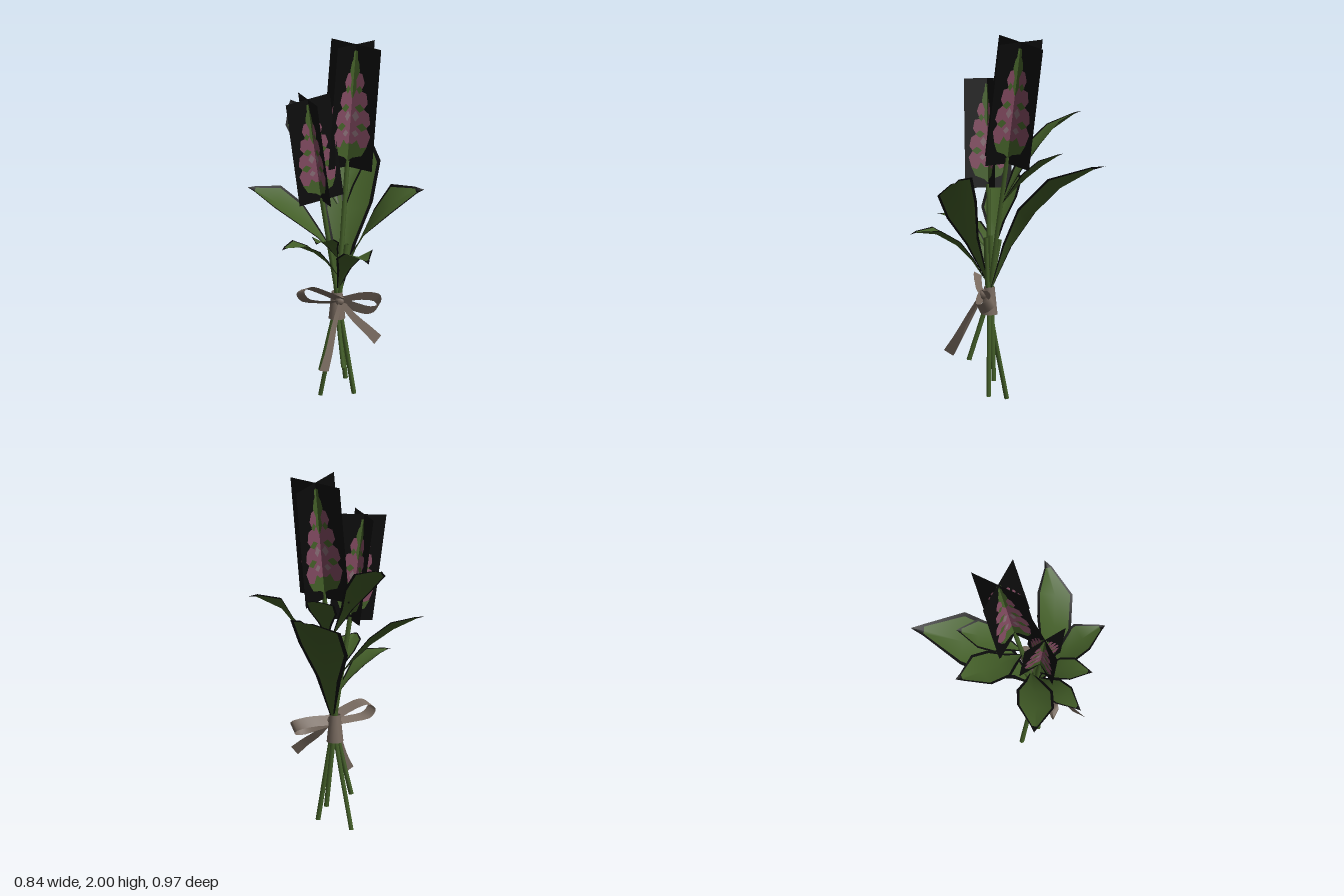
import * as THREE from 'three';

const V = (x, y, z) => new THREE.Vector3(x, y, z);
const paint = (name, color, side = THREE.DoubleSide) => {
  const m = new THREE.MeshStandardMaterial({ color, side });
  m.name = name;
  return m;
};

export function createModel() {
  const model = new THREE.Group();
  model.name = 'bouquet';
  const green = paint('leafGreen', 0x435e28);
  const black = paint('edgeBlack', 0x0b0b0b);
  const pink = paint('petalPink', 0x80495f);
  const pale = paint('palePetal', 0x846a72);
  const cloth = paint('ribbonTaupe', 0x786a5f);

  const add = (name, geo, mat, parent = model) => {
    const mesh = new THREE.Mesh(geo, mat);
    mesh.name = name;
    parent.add(mesh);
    return mesh;
  };

  // Grid of points (rows of equal length) turned into a surface;
  // pick(row, column) chooses the material slot of each cell.
  function sheet(rows, pick = () => 0) {
    const n = rows[0].length, cells = [[], []];
    for (let i = 0; i < rows.length - 1; i++) {
      for (let j = 0; j < n - 1; j++) {
        const a = i * n + j, b = a + n;
        cells[pick(i, j)].push(a, a + 1, b, a + 1, b + 1, b);
      }
    }
    const geo = new THREE.BufferGeometry().setFromPoints(rows.flat());
    geo.setIndex([...cells[0], ...cells[1]]);
    geo.addGroup(0, cells[0].length, 0);
    geo.addGroup(cells[0].length, cells[1].length, 1);
    geo.computeVertexNormals();
    return geo;
  }

  // Stems: gentle curves meeting at the knot
  const knot = V(-0.03, 0.55, 0.045);
  const stems = [
    [V(-0.07, 0.005, -0.07), V(-0.025, 0.55, 0.05), V(0.01, 0.9, 0.08)],
    [V(0.055, 0.04, 0.08), V(-0.02, 0.55, 0.05), V(-0.11, 1.17, 0.02)],
    [V(0.025, 0.12, 0.04), V(-0.02, 0.55, 0.035), V(-0.05, 0.9, 0.03)],
    [V(-0.11, 0.18, 0.01), V(-0.035, 0.55, 0.04), V(0.07, 1.34, -0.02)],
    [V(-0.05, 0.23, 0.155), V(-0.035, 0.55, 0.055), V(-0.02, 0.88, -0.01)],
  ];
  stems.forEach((pts, i) => {
    const curve = new THREE.CatmullRomCurve3(pts);
    add('stem' + (i + 1), new THREE.TubeGeometry(curve, 8, 0.013, 6), green);
    const cap = add('stemEnd' + (i + 1), new THREE.CircleGeometry(0.013, 6), green);
    cap.position.copy(pts[0]);
    cap.rotation.x = Math.PI / 2;
  });

  // Leaves: arched, channelled blades with a dark rim
  function leaf(name, base, bend, tip, width, roll) {
    const curve = new THREE.QuadraticBezierCurve3(base, bend, tip);
    // station along the blade, width share, where the rim begins
    const stations = [[0, 0.08, 0.4], [0.2, 0.5, 0.68], [0.4, 0.98, 0.84], [0.66, 1, 0.86],
      [0.92, 0.23, 0.6], [1, 0.001, 0.6]];
    const rows = stations.map(([t, w, rim]) => [-1, -rim, 0, rim, 1].map((u) => {
      const d = curve.getTangent(t).setY(0).normalize();
      const p = curve.getPoint(t).addScaledVector(V(-d.z, roll, d.x), u * w * width / 2);
      p.y += (Math.abs(u) - 0.5) * w * width * 0.18;
      return p;
    }));
    add(name, sheet(rows, (i, j) => (i === 4 || j === 0 || j === 3 ? 1 : 0)), [green, black]);
  }
  leaf('upperBackLeaf', V(0.01, 1.1, -0.02), V(-0.085, 1.5, -0.25), V(-0.03, 1.555, -0.485), 0.19, 0.18);
  leaf('largeBackLeaf', V(-0.01, 0.62, 0.04), V(0.12, 1.23, -0.11), V(0.42, 1.315, -0.455), 0.28, 0.2);
  leaf('upperSideLeaf', V(0.04, 1.08, 0), V(0.145, 1.32, -0.14), V(0.25, 1.37, -0.275), 0.16, 0.1);
  leaf('rightBackLeaf', V(-0.03, 0.83, 0.02), V(-0.23, 1.15, -0.08), V(-0.42, 1.195, -0.245), 0.2, 0.3);
  leaf('rightLowLeaf', V(-0.03, 0.72, 0.05), V(-0.21, 0.99, 0.04), V(-0.39, 0.935, 0.09), 0.13, 0);
  leaf('rightFrontLeaf', V(-0.03, 0.82, 0.05), V(-0.15, 1.02, 0.14), V(-0.27, 1.0, 0.255), 0.13, 0);
  leaf('frontLeaf', V(-0.03, 0.65, 0.06), V(-0.05, 1.02, 0.27), V(-0.07, 0.925, 0.485), 0.17, 0);
  leaf('leftFrontLeaf', V(-0.025, 0.66, 0.06), V(0.03, 1.27, 0.325), V(0.33, 1.25, 0.37), 0.19, -0.55);

  // Flower spikes: two crossed cards with petals laid on both faces
  const mirrored = (pts) => [...pts, ...pts.map(([x, y]) => [-x, y]).reverse()];
  const diamond = (x, y, w, h) => [[x, y - h], [x + w, y], [x, y + h], [x - w, y]];
  const layers = [
    { name: 'petals', mat: pink, lift: 0.0015, outlines: [mirrored([[0.02, 0.13], [0.2, 0.15], [0.36, 0.19],
      [0.42, 0.28], [0.33, 0.34], [0.4, 0.38], [0.36, 0.46], [0.25, 0.49], [0.32, 0.54], [0.28, 0.62],
      [0.17, 0.63], [0.23, 0.7], [0.17, 0.77], [0.07, 0.78], [0.05, 0.82]])] },
    { name: 'buds', mat: green, lift: 0.003, outlines: [
      mirrored([[0.02, 0.56], [0.08, 0.64], [0.06, 0.71], [0.12, 0.79], [0.09, 0.86], [0.06, 0.88], [0.05, 0.95]]),
      mirrored([[0.02, 0.05], [0.1, 0.08], [0.28, 0.11], [0.37, 0.19], [0.24, 0.17], [0.16, 0.23], [0.08, 0.19]]),
      ...[-1, 1].flatMap((s) => [diamond(s * 0.24, 0.34, 0.11, 0.035), diamond(s * 0.17, 0.49, 0.1, 0.035),
        diamond(s * 0.14, 0.64, 0.06, 0.035)])] },
    { name: 'petalHighlights', mat: pale, lift: 0.003, outlines: [-1, 1].flatMap((s) => [
      diamond(s * 0.1, 0.42, 0.07, 0.045), diamond(s * 0.12, 0.28, 0.07, 0.03)]) },
  ];

  function flower(name, bottom, top, width, across) {
    const group = new THREE.Group();
    group.name = name;
    model.add(group);
    const up = top.clone().sub(bottom), height = up.length();
    up.normalize();
    const w1 = across.clone().addScaledVector(up, -across.dot(up)).normalize();
    const w2 = w1.clone().cross(up);
    [[w1, w2], [w2, w1.clone().negate()]].forEach(([w, n], k) => {
      const frame = new THREE.Matrix4().makeBasis(w, up, n).setPosition(bottom);
      const card = new THREE.PlaneGeometry(width, height).translate(0, height / 2, 0);
      add('card' + (k + 1), card.applyMatrix4(frame), black, group);
      for (const { name: part, mat, lift, outlines } of layers) {
        const shapes = outlines.map((o) => new THREE.Shape(
          o.map(([x, y]) => new THREE.Vector2(x * width, y * height))));
        for (const s of [-1, 1]) {
          const geo = new THREE.ShapeGeometry(shapes);
          if (s < 0) geo.rotateY(Math.PI);
          add(part, geo.translate(0, 0, s * lift).applyMatrix4(frame), mat, group);
        }
      }
    });
  }
  flower('tallFlower', V(0.065, 1.305, -0.02), V(0.15, 1.973, -0.07), 0.335, V(0.3, -0.05, -0.14));
  flower('shortFlower', V(-0.11, 1.152, 0.02), V(-0.185, 1.737, 0), 0.26, V(0.25, 0.03, 0.02));

  // Ribbon: wrapped band, two loops and two tails
  const band = add('ribbonBand', new THREE.CylinderGeometry(0.03, 0.046, 0.15, 10, 1, true), cloth);
  band.position.copy(knot);
  const tie = add('ribbonKnot', new THREE.SphereGeometry(0.028, 8, 6), cloth);
  tie.position.set(-0.03, 0.585, 0.08);

  function strip(name, pts, across, startWidth, endWidth) {
    const curve = new THREE.CatmullRomCurve3(pts);
    const dir = across.normalize(), rows = [];
    for (let i = 0; i <= 16; i++) {
      const t = i / 16, p = curve.getPoint(t);
      const w = THREE.MathUtils.lerp(startWidth, endWidth, t) / 2;
      rows.push([-1, 1].map((s) => p.clone().addScaledVector(dir, s * w)));
    }
    add(name, sheet(rows), [cloth, cloth]);
  }
  strip('rightLoop', [V(-0.03, 0.575, 0.08), V(-0.13, 0.585, 0.06), V(-0.22, 0.605, 0.035),
    V(-0.245, 0.65, 0.03), V(-0.21, 0.675, 0.045), V(-0.13, 0.645, 0.075), V(-0.03, 0.59, 0.09)],
  V(0.35, 0.4, 0.8), 0.06, 0.06);
  strip('leftLoop', [V(-0.03, 0.58, 0.09), V(0.03, 0.555, 0.13), V(0.11, 0.53, 0.16), V(0.17, 0.54, 0.145),
    V(0.185, 0.57, 0.11), V(0.1, 0.59, 0.085), V(-0.03, 0.585, 0.08)], V(0.2, 0.8, 0.45), 0.06, 0.06);
  strip('rightTail', [V(-0.03, 0.58, 0.09), V(-0.09, 0.47, 0.13), V(-0.15, 0.34, 0.18),
    V(-0.2, 0.25, 0.215)], V(0.9, -0.3, -0.35), 0.03, 0.08);
  strip('leftTail', [V(-0.03, 0.58, 0.09), V(0.02, 0.5, 0.15), V(0.07, 0.44, 0.21),
    V(0.11, 0.39, 0.25)], V(0.6, 0.7, 0.1), 0.03, 0.06);

  return model;
}
